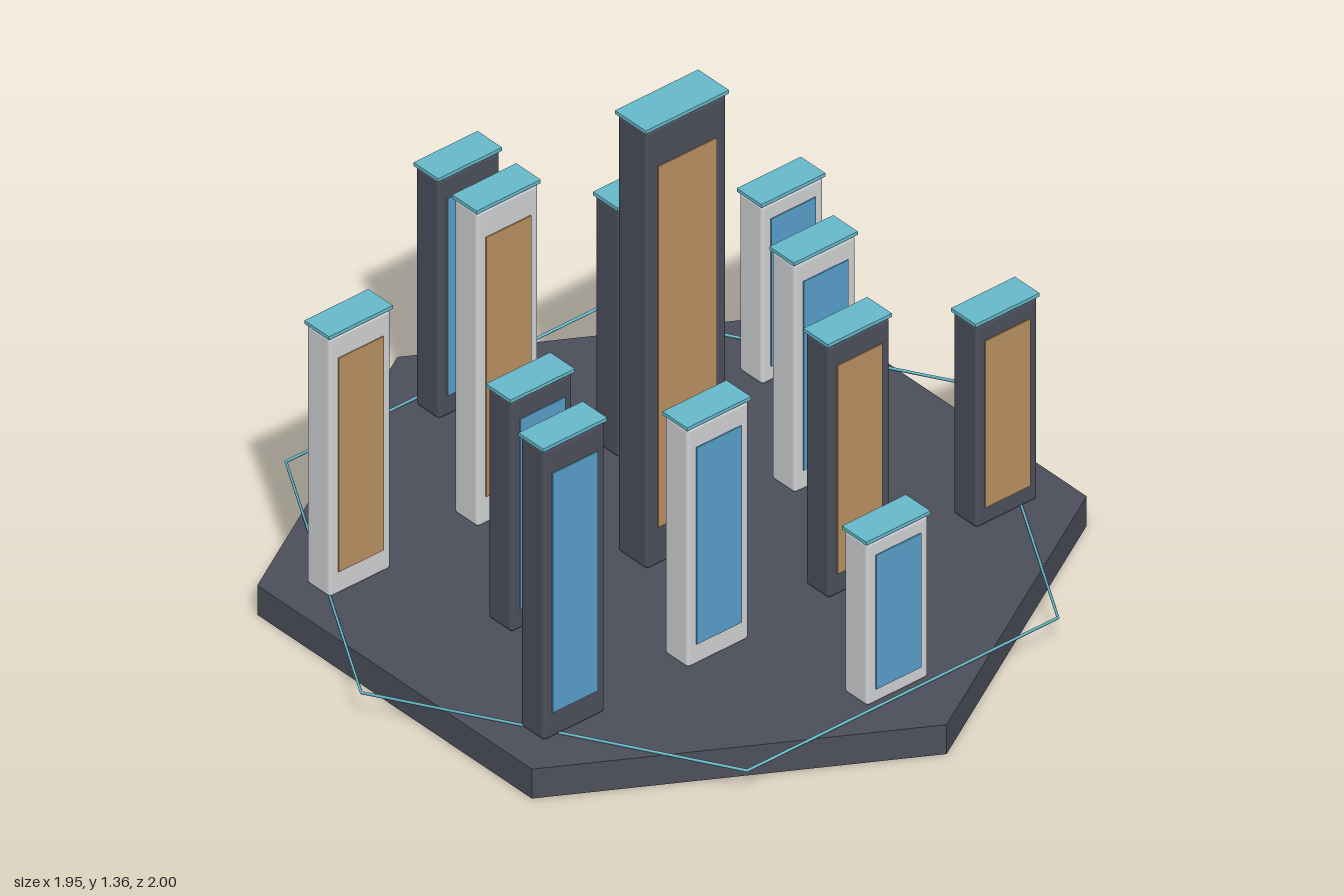
import * as THREE from 'three';
import { RoundedBoxGeometry } from 'three/addons/geometries/RoundedBoxGeometry.js';

const material = (name, color) => {
  const m = new THREE.MeshStandardMaterial({ color });
  m.name = name;
  return m;
};

export function createModel() {
  const dark = material('dark slate', 0x4c4f5b);
  const light = material('light grey', 0xd0d2d5);
  const blue = material('blue glass', 0x599fcc);
  const amber = material('amber glass', 0xba9262);
  const cyan = material('cyan trim', 0x66bacb);

  const model = new THREE.Group();
  model.name = 'hexagonalCity';
  const baseTop = 0.085;

  const add = (parent, name, geometry, mat, x, y, z) => {
    const mesh = new THREE.Mesh(geometry, mat);
    mesh.name = name;
    mesh.position.set(x, y, z);
    parent.add(mesh);
    return mesh;
  };

  // Hexagonal slab with a corner at the front
  const slab = new THREE.CylinderGeometry(1, 1, baseTop, 6).toNonIndexed();
  slab.computeVertexNormals();
  add(model, 'base', slab, dark, 0, baseTop / 2, 0);

  // Fine hexagonal ring, turned against the slab
  const ring = new THREE.TorusGeometry(0.97, 0.004, 6, 6).rotateX(Math.PI / 2);
  add(model, 'ring', ring, cyan, 0, baseTop + 0.003, 0);

  // Tower: rounded body, thin roof cap and one glass panel on the front
  const addTower = (x, z, top, bodyMat, glassMat, width = 0.192, depth = 0.086) => {
    const tower = new THREE.Group();
    tower.name = 'tower';
    tower.position.set(x, baseTop, z);
    model.add(tower);
    const capHeight = 0.01;
    const height = top - baseTop - capHeight;
    add(tower, 'towerBody', new RoundedBoxGeometry(width, height, depth, 2, 0.01), bodyMat, 0, height / 2, 0);
    add(tower, 'roofCap', new THREE.BoxGeometry(width * 1.04, capHeight, depth * 1.04), cyan, 0, height + capHeight / 2, 0);
    add(tower, 'glassPanel', new THREE.BoxGeometry(width * 0.73, height * 0.825, 0.004), glassMat, 0, height / 2, depth / 2 + 0.001);
  };

  addTower(0, 0, 1.36, dark, amber, 0.25, 0.108);
  const towers = [
    [0, 0.78, 0.565, light, blue],
    [-0.675, 0.39, 0.935, dark, blue],
    [-0.22, 0.383, 0.785, light, blue],
    [0.22, 0.383, 0.825, dark, amber],
    [0.675, 0.39, 0.68, dark, amber],
    [-0.442, 0, 0.763, dark, blue],
    [0.442, 0, 0.757, light, blue],
    [-0.675, -0.39, 0.845, light, amber],
    [-0.22, -0.383, 1.005, light, amber],
    [0.22, -0.383, 0.813, dark, blue],
    [0.675, -0.39, 0.612, light, blue],
    [0, -0.78, 0.787, dark, blue],
  ];
  for (const t of towers) addTower(...t);

  return model;
}
